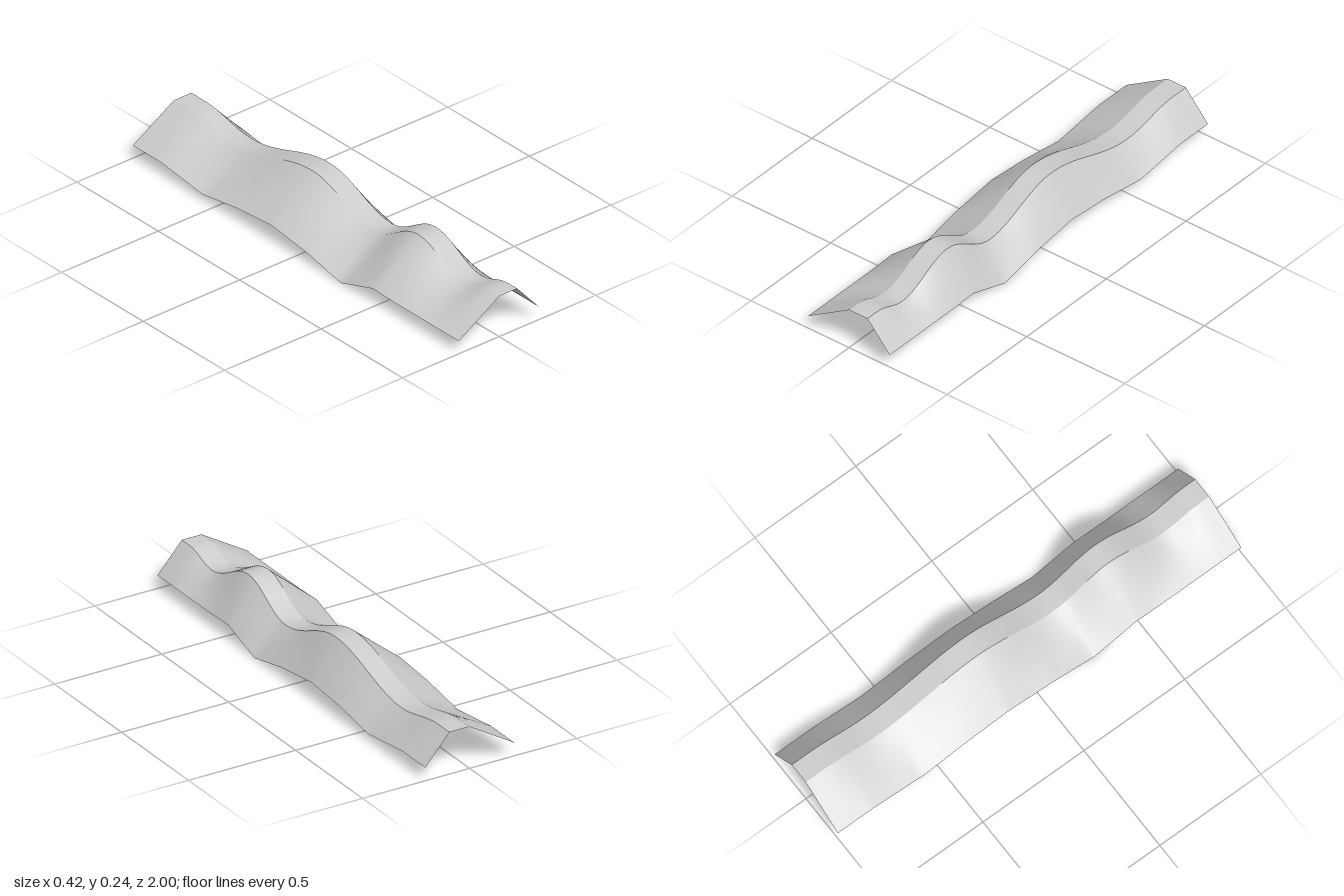
import * as THREE from 'three';

// Crest heights at the peaks and dips, and the outer-edge heights, as [z, y]
const CREST = [[-1, 0.187], [-0.92, 0.187], [-0.635, 0.143], [-0.15, 0.247], [0.23, 0.14], [0.5, 0.246], [0.78, 0.148], [0.94, 0.187], [1, 0.187]];
const EDGE = [[-1, 0.06], [-0.825, 0.06], [-0.575, 0.027], [-0.35, 0.06], [-0.15, 0.075], [0.075, 0.046], [0.275, 0.002], [0.475, 0.065], [0.6, 0.06], [1, 0.06]];

function heightAt(points, z, ease) {
  let i = 0;
  while (i < points.length - 2 && z > points[i + 1][0]) i++;
  const [z0, y0] = points[i], [z1, y1] = points[i + 1];
  const t = (z - z0) / (z1 - z0);
  return y0 + (y1 - y0) * ease(t);
}
const crest = z => heightAt(CREST, z, t => (1 - Math.cos(Math.PI * t)) / 2);
const edge = z => heightAt(EDGE, z, t => t);

// A ruled strip between two long rails, each given as x and a height rule
function strip(name, xa, ya, xb, yb, material) {
  const rows = 80, cols = 4, position = [], index = [];
  for (let r = 0; r <= rows; r++) {
    const z = -1 + (2 * r) / rows;
    for (let c = 0; c <= cols; c++) {
      const t = c / cols;
      position.push(xa + (xb - xa) * t, ya(z) + (yb(z) - ya(z)) * t, z);
      if (r < rows && c < cols) {
        const a = r * (cols + 1) + c, b = a + cols + 1;
        index.push(a, b, b + 1, a, b + 1, a + 1);
      }
    }
  }
  const geometry = new THREE.BufferGeometry();
  geometry.setAttribute('position', new THREE.Float32BufferAttribute(position, 3));
  geometry.setIndex(index);
  geometry.computeVertexNormals();
  const mesh = new THREE.Mesh(geometry, material);
  mesh.name = name;
  return mesh;
}

export function createModel() {
  const group = new THREE.Group();
  group.name = 'wavyRidge';
  const material = new THREE.MeshStandardMaterial({ color: 0xcccccc, side: THREE.DoubleSide });
  // Separate strips keep the two ridge creases sharp
  group.add(
    strip('rightSlope', -0.209, edge, 0.002, crest, material),
    strip('ridgeTop', 0.002, crest, 0.094, crest, material),
    strip('leftSlope', 0.094, crest, 0.207, edge, material)
  );
  return group;
}
